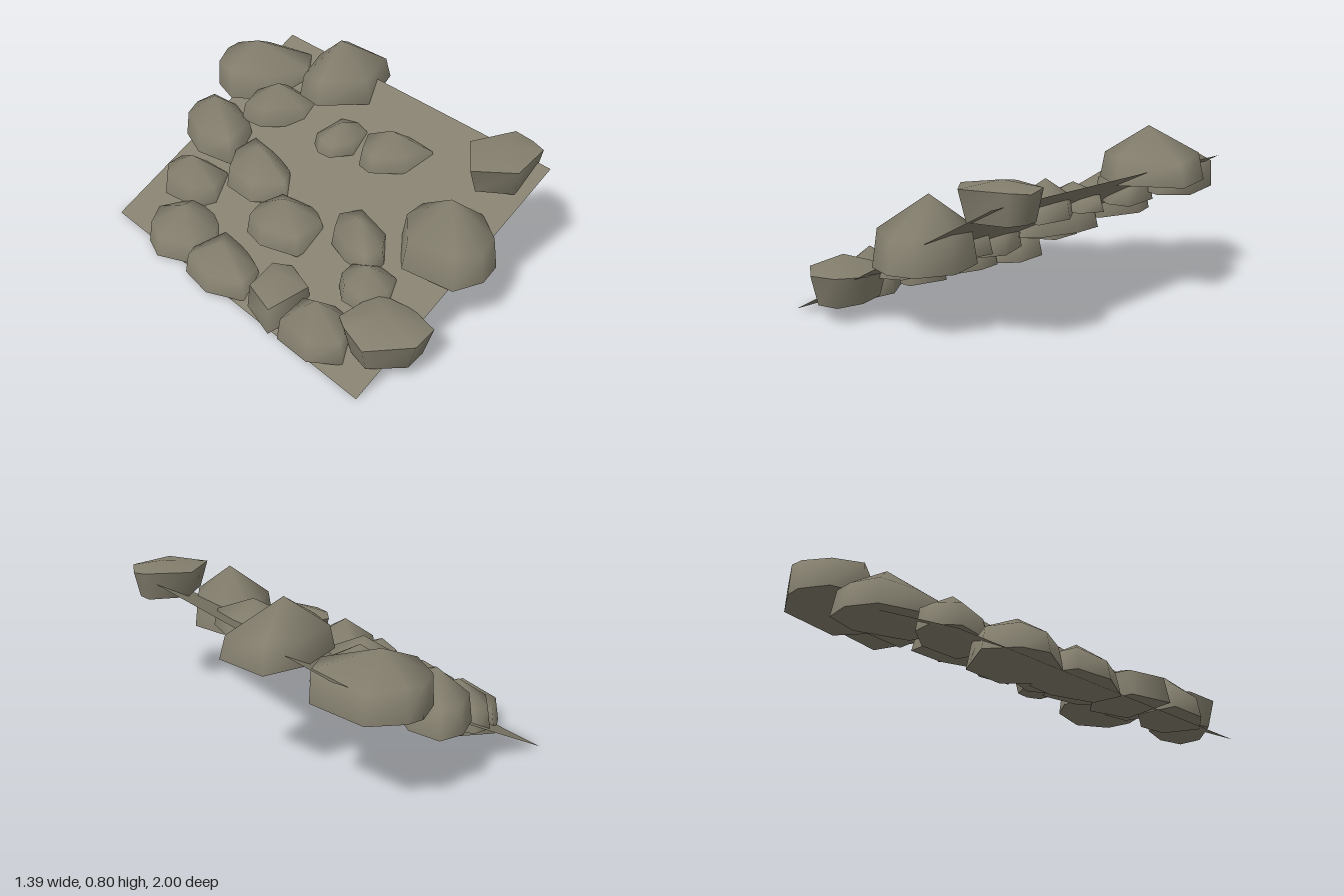
import * as THREE from 'three';

const stone = new THREE.MeshStandardMaterial({ color: 0x837e6d });
stone.name = 'stone';
const ground = new THREE.MeshStandardMaterial({ color: 0x837e6d, side: THREE.DoubleSide });
ground.name = 'slopeStone';

// One boulder: a flat base, a shoulder ring and a domed top.
// outline: x, z pairs, clockwise from above; foot and shoulder scale that outline.
function boulder(name, base, top, outline, { foot = 1, shoulder = 0.9, mid = 0.5, sharp = false } = {}) {
  const n = outline.length;
  const cx = outline.reduce((s, p) => s + p[0], 0) / n;
  const cz = outline.reduce((s, p) => s + p[1], 0) / n;
  const pos = [], index = [];
  const addRing = (scale, y) => {
    const start = pos.length / 3;
    outline.forEach(([x, z], i) => pos.push(cx + (x - cx) * scale, y(i), cz + (z - cz) * scale));
    return start;
  };
  const addPoint = (y) => pos.push(cx, y, cz) / 3 - 1;
  const shoulderY = (i) => base + (top - base) * (mid + 0.05 * Math.sin(i * 2.3));
  const low = addRing(foot, () => base);
  const high = addRing(shoulder, shoulderY);
  const rim = sharp ? addRing(shoulder, shoulderY) : high; // separate ring keeps the edge crisp
  const apex = addPoint(top);
  const under = addRing(foot, () => base);
  const centre = addPoint(base);
  for (let i = 0; i < n; i++) {
    const j = (i + 1) % n;
    index.push(low + j, low + i, high + i, low + j, high + i, high + j);
    index.push(apex, rim + j, rim + i);
    index.push(centre, under + i, under + j);
  }
  const geo = new THREE.BufferGeometry();
  geo.setAttribute('position', new THREE.Float32BufferAttribute(pos, 3));
  geo.setIndex(index);
  geo.computeVertexNormals();
  const mesh = new THREE.Mesh(geo, stone);
  mesh.name = name;
  return mesh;
}

export function createModel() {
  const group = new THREE.Group();
  group.name = 'rockySlope';
  const add = (...args) => group.add(boulder(...args));

  // Sloping sheet rising towards +x
  const run = 1.165, rise = 0.605;
  const sheet = new THREE.PlaneGeometry(Math.hypot(run, rise), 1.725);
  sheet.rotateX(-Math.PI / 2).rotateZ(Math.atan2(rise, run)).translate(-0.0475, rise / 2, 0.0325);
  const slope = new THREE.Mesh(sheet, ground);
  slope.name = 'slope';
  group.add(slope);

  // Low boulders along the foot of the slope
  add('footBoulderBack', 0.01, 0.22,
    [[-.54, -.63], [-.35, -.54], [-.34, -.34], [-.46, -.22], [-.61, -.24], [-.70, -.41], [-.66, -.53]]);
  add('footBoulderMiddle', 0.01, 0.2,
    [[-.6, -.26], [-.41, -.24], [-.4, -.1], [-.47, .1], [-.6, .13], [-.69, -.04], [-.67, -.22]]);
  add('footSlab', 0.03, 0.2,
    [[-.62, .18], [-.43, .13], [-.36, .2], [-.42, .39], [-.67, .38]], { mid: 0.7, sharp: true });
  add('footBoulderFront', 0.03, 0.24,
    [[-.55, .4], [-.48, .39], [-.39, .52], [-.41, .66], [-.56, .74], [-.66, .62], [-.66, .43]]);
  add('footCornerBoulder', 0.075, 0.275,
    [[-.5, .65], [-.28, .66], [-.23, .83], [-.27, .98], [-.4, 1], [-.57, .86], [-.54, .72]],
    { foot: 0.8, shoulder: 1, mid: 0.68, sharp: true });

  // Boulders on the lower half
  add('lowerBoulderBack', 0.13, 0.33,
    [[-.38, -.76], [-.29, -.76], [-.2, -.65], [-.2, -.46], [-.34, -.4], [-.43, -.5], [-.46, -.66]]);
  add('lowerBoulderMiddle', 0.17, 0.36,
    [[-.28, -.15], [-.15, -.12], [-.09, .07], [-.16, .2], [-.34, .2], [-.41, .02], [-.39, -.1]]);
  add('lowerBoulderFront', 0.165, 0.32,
    [[-.33, .47], [-.25, .46], [-.15, .55], [-.17, .68], [-.27, .72], [-.38, .66], [-.39, .55]]);

  // Boulders across the middle
  add('midBoulderBack', 0.265, 0.5,
    [[-.05, -.94], [.07, -.93], [.11, -.78], [.02, -.54], [-.18, -.48], [-.23, -.68], [-.17, -.86]]);
  add('midBoulderInner', 0.22, 0.42,
    [[-.13, -.52], [.02, -.53], [.02, -.36], [-.05, -.16], [-.14, -.09], [-.27, -.22], [-.27, -.4]]);
  add('midBoulderSmall', 0.23, 0.4,
    [[-.1, .21], [0, .27], [-.04, .48], [-.15, .57], [-.25, .55], [-.25, .42], [-.21, .29]]);
  add('midBoulderFront', 0.285, 0.59,
    [[-.01, .53], [.1, .53], [.2, .6], [.25, .79], [.16, .94], [.04, .97], [-.1, .92], [-.15, .67]]);

  // Boulders on the upper half
  add('upperBoulderBack', 0.43, 0.675,
    [[.22, -1], [.3, -1], [.45, -.92], [.5, -.62], [.38, -.52], [.18, -.62], [.06, -.77], [.1, -.92]],
    { shoulder: 0.97, mid: 0.58 });
  add('upperBoulderInner', 0.39, 0.58,
    [[.15, -.68], [.3, -.6], [.32, -.36], [.2, -.35], [.03, -.49], [.01, -.62]]);
  add('upperBoulderTall', 0.54, 0.795,
    [[.43, -.51], [.64, -.5], [.69, -.24], [.41, -.11], [.21, -.27], [.22, -.41]], { mid: 0.46 });
  add('upperBoulderSmall', 0.415, 0.54,
    [[.1, -.17], [.29, -.18], [.36, -.09], [.3, .01], [.17, .03], [.07, -.03], [.06, -.1]]);
  add('upperBoulderWedge', 0.435, 0.6,
    [[.24, .04], [.33, .11], [.39, .21], [.36, .39], [.22, .33], [.1, .21], [.11, .13]]);
  add('upperCornerBoulder', 0.525, 0.69,
    [[.38, .56], [.59, .65], [.6, .74], [.56, .83], [.34, .87], [.21, .71]],
    { foot: 0.82, shoulder: 1, mid: 0.8, sharp: true });

  return group;
}
